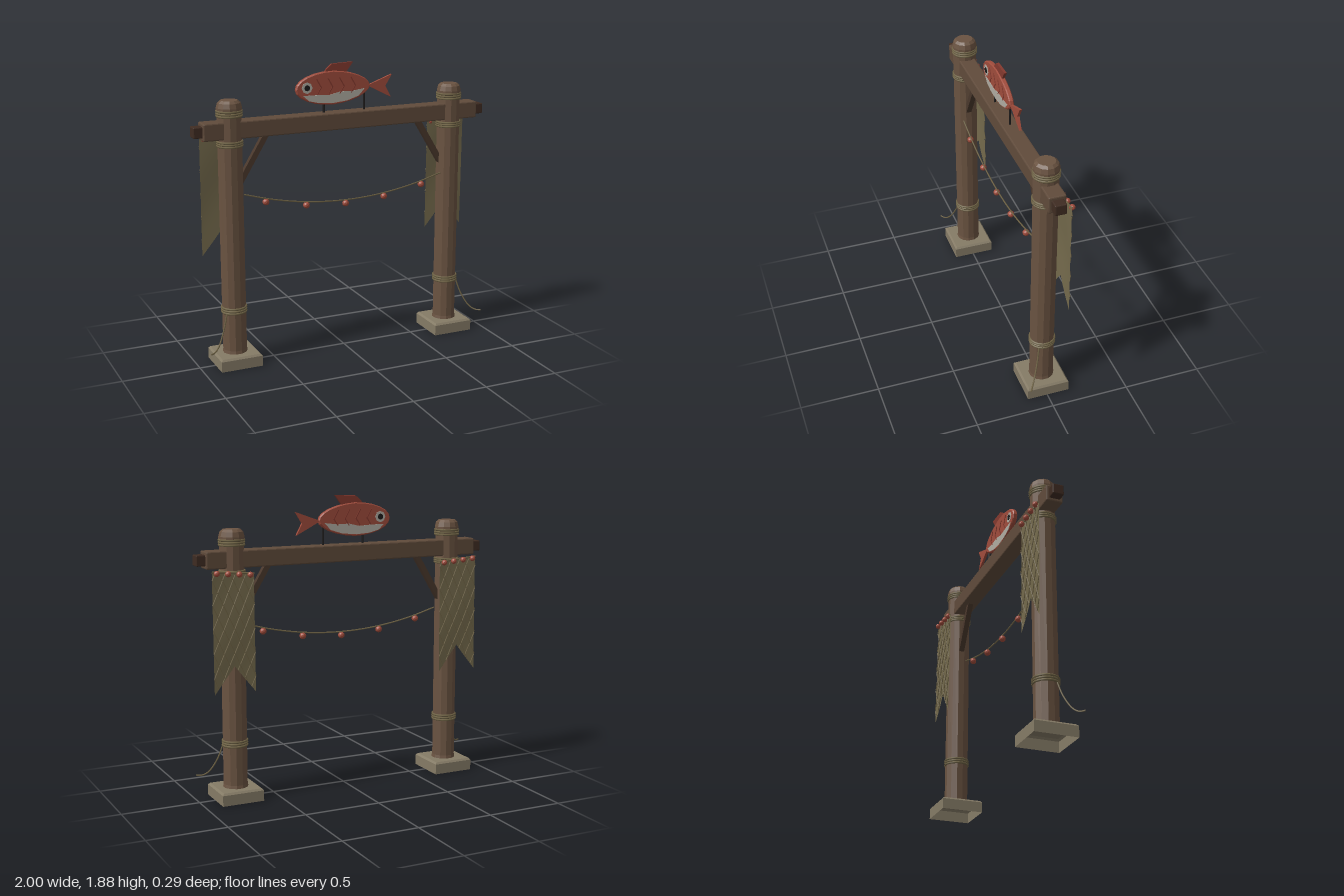
import * as THREE from 'three';
import { RoundedBoxGeometry } from 'three/addons/geometries/RoundedBoxGeometry.js';

const mat = (color, flatShading = true, side = THREE.FrontSide) =>
  new THREE.MeshStandardMaterial({ color, flatShading, side });
const M = {
  wood: mat(0x6a5341), beam: mat(0x604b3b), dark: mat(0x4a382c), tip: mat(0x3f2c22),
  stone: mat(0x857b66, true, THREE.DoubleSide), rope: mat(0x6f6345, false),
  net: mat(0x746a4c, false, THREE.DoubleSide), red: mat(0xa04c3c), fin: mat(0x84392e),
  pale: mat(0xb0aca2), black: mat(0x1c1a1a),
};
const V = (x, y, z = 0) => new THREE.Vector3(x, y, z);
const Z0 = -0.007;

function add(parent, name, geometry, material, x = 0, y = 0, z = 0) {
  const mesh = new THREE.Mesh(geometry, material);
  mesh.name = name;
  mesh.position.set(x, y, z);
  parent.add(mesh);
  return mesh;
}

// Straight square or round bar between two points
function bar(parent, name, a, b, r, sides, material) {
  const g = new THREE.CylinderGeometry(r, r, a.distanceTo(b), sides);
  if (sides === 4) g.rotateY(Math.PI / 4);
  const m = add(parent, name, g, material);
  m.position.copy(a).lerp(b, 0.5);
  m.quaternion.setFromUnitVectors(V(0, 1), b.clone().sub(a).normalize());
  return m;
}

function cord(parent, name, points, r, segs) {
  const curve = new THREE.CatmullRomCurve3(points);
  return add(parent, name, new THREE.TubeGeometry(curve, segs, r, 5), M.rope);
}

// Flat plate centred on z = 0
function plate(parent, name, pts, depth, material, bevel = 0) {
  const shape = new THREE.Shape(pts.map(([x, y]) => new THREE.Vector2(x, y)));
  const g = new THREE.ExtrudeGeometry(shape, {
    depth, bevelEnabled: bevel > 0, bevelSize: bevel, bevelOffset: -bevel,
    bevelThickness: bevel, bevelSegments: 1,
  });
  g.translate(0, 0, -depth / 2);
  return add(parent, name, g, material);
}

function post(s) {
  const g = new THREE.Group();
  g.name = s > 0 ? 'leftPost' : 'rightPost';
  g.position.x = s * 0.76;
  // Hollow footing, open below
  const footing = new THREE.LatheGeometry(
    [[0.193, 0], [0.193, 0.068], [0.178, 0.08], [0, 0.08]].map(p => new THREE.Vector2(...p)), 4);
  footing.rotateY(Math.PI / 4);
  add(g, 'footing', footing, M.stone);
  // Log with a chamfered head
  const log = new THREE.LatheGeometry(
    [[0.08, 0.08], [0.076, 0.1], [0.076, 1.625], [0.08, 1.63], [0.08, 1.655], [0.072, 1.685],
      [0.055, 1.7], [0, 1.7]].map(p => new THREE.Vector2(...p)), 12);
  log.rotateY(Math.PI / 12);
  add(g, 'log', log, M.wood);
  // Rope lashings
  for (const y of [0.35, 0.365, 0.38, 1.42, 1.433, 1.446, 1.605, 1.62, 1.635]) {
    const ring = new THREE.TorusGeometry(0.077, 0.0075, 6, 20);
    ring.rotateX(Math.PI / 2);
    add(g, 'lashing', ring, M.rope, 0, y, 0);
  }
  // Loose rope tail and diagonal brace
  cord(g, 'ropeTail', [V(s * 0.06, 0.36, 0.04), V(s * 0.095, 0.25, 0.065),
    V(s * 0.14, 0.165, 0.1), V(s * 0.175, 0.138, 0.125), V(s * 0.21, 0.135, 0.145)], 0.005, 20);
  bar(g, 'brace', V(-s * 0.05, 1.17), V(-s * 0.245, 1.49), 0.025, 4, M.dark);
  return g;
}

// Hanging net: swallow-tailed sheet with diagonal strands on its back
function net(s) {
  const g = new THREE.Group();
  g.name = s > 0 ? 'leftNet' : 'rightNet';
  g.position.x = s * 0.79;
  const W = 0.135;
  const bottom = x => 0.7 + 0.17 * (1 - Math.abs(x) / W);
  const top = x => 1.445 + s * x * 0.08;
  const zAt = (x, y) => -0.095 + 0.006 * Math.sin(y * 9 + 1) * Math.cos(x * 12) - 0.012 * (1.45 - y);
  const sheet = new THREE.PlaneGeometry(2 * W, 1, 12, 14);
  const p = sheet.attributes.position;
  for (let i = 0; i < p.count; i++) {
    const x = p.getX(i);
    const y = THREE.MathUtils.lerp(bottom(x), top(x), p.getY(i) + 0.5);
    p.setXYZ(i, x, y, zAt(x, y));
  }
  sheet.computeVertexNormals();
  add(g, 'netSheet', sheet, M.net);
  // Crossing strands
  const slope = 2.2;
  for (const d of [-1, 1]) {
    for (let c = 0.5; c < 1.8; c += 0.15) {
      const pts = [];
      for (let i = 0; i <= 40; i++) {
        const x = -W + (2 * W * i) / 40, y = c + d * slope * x;
        if (y >= bottom(x) && y <= top(x)) pts.push(V(x, y, zAt(x, y) - 0.004));
      }
      if (pts.length > 2) cord(g, 'netStrand', pts, 0.0035, 12);
    }
  }
  // Head rope and floats
  cord(g, 'headRope', [-W, 0, W].map(x => V(x, top(x), zAt(x, top(x)) - 0.003)), 0.006, 8);
  for (let i = 0; i < 4; i++) {
    const x = -0.108 + i * 0.072;
    add(g, 'netFloat', new THREE.IcosahedronGeometry(0.019, 1), M.red, x, top(x) - 0.008, -0.108);
  }
  return g;
}

function fishSign() {
  const g = new THREE.Group();
  g.name = 'fishSign';
  // Body outline, slightly pointed toward the tail
  const body = [];
  for (let i = 0; i < 24; i++) {
    const a = (i / 24) * Math.PI * 2, c = Math.cos(a);
    body.push([-0.073 + 0.253 * c, 1.728 + 0.107 * Math.sin(a) * (1 - 0.12 * Math.max(c, 0))]);
  }
  plate(g, 'fishBody', body, 0.018, M.red, 0.006);
  plate(g, 'tailFin', [[0.165, 1.725], [0.337, 1.787], [0.292, 1.715], [0.332, 1.64]], 0.016, M.red);
  plate(g, 'dorsalFin', [[-0.14, 1.815], [-0.115, 1.85], [-0.08, 1.878], [0.064, 1.883], [0.005, 1.805]],
    0.016, M.fin);
  // Details on both faces
  plate(g, 'belly', [[-0.28, 1.69], [-0.24, 1.655], [-0.17, 1.638], [-0.08, 1.632], [0.02, 1.642],
    [0.1, 1.667], [0.142, 1.712], [0.05, 1.7], [-0.03, 1.702], [-0.1, 1.685], [-0.2, 1.69]],
  0.034, M.pale);
  for (const [name, r, depth, m] of [['eye', 0.036, 0.036, M.pale], ['pupil', 0.019, 0.042, M.black]]) {
    const disc = new THREE.CylinderGeometry(r, r, depth, 8);
    disc.rotateX(Math.PI / 2);
    add(g, name, disc, m, -0.253, 1.738, 0);
  }
  for (let i = 0; i < 4; i++) {
    const x = -0.185 + i * 0.078;
    plate(g, 'gillMark', [[x - 0.008, 1.79], [x + 0.024, 1.735], [x - 0.004, 1.69],
      [x + 0.002, 1.69], [x + 0.032, 1.735], [x, 1.79]], 0.036, M.fin);
  }
  for (const x of [-0.134, 0.145]) bar(g, 'signStake', V(x, 1.56), V(x, 1.69), 0.007, 6, M.black);
  return g;
}

export function createModel() {
  const root = new THREE.Group();
  root.name = 'gateway';
  const model = new THREE.Group();
  model.name = 'gate';
  model.position.z = Z0;
  root.add(model);

  // Crossbeam with narrower end tenons
  add(model, 'crossbeam', new RoundedBoxGeometry(1.885, 0.108, 0.108, 1, 0.008), M.beam, 0, 1.519, 0);
  for (const s of [-1, 1]) {
    add(model, 'beamTenon', new RoundedBoxGeometry(0.08, 0.068, 0.072, 1, 0.006), M.tip, s * 0.96, 1.519, 0);
    model.add(post(s), net(s));
  }
  model.add(fishSign());

  // Sagging line with floats
  const sag = x => 1 + 0.11 * (x / 0.69) ** 2;
  const line = [];
  for (let i = -4; i <= 4; i++) line.push(V(i * 0.1725, sag(i * 0.1725), 0.036));
  cord(model, 'floatLine', line, 0.005, 40);
  for (let i = -2; i <= 2; i++) {
    const x = i * 0.273;
    add(model, 'lineFloat', new THREE.IcosahedronGeometry(0.022, 1), M.red, x, sag(x) - 0.022, 0.036);
  }
  return root;
}
